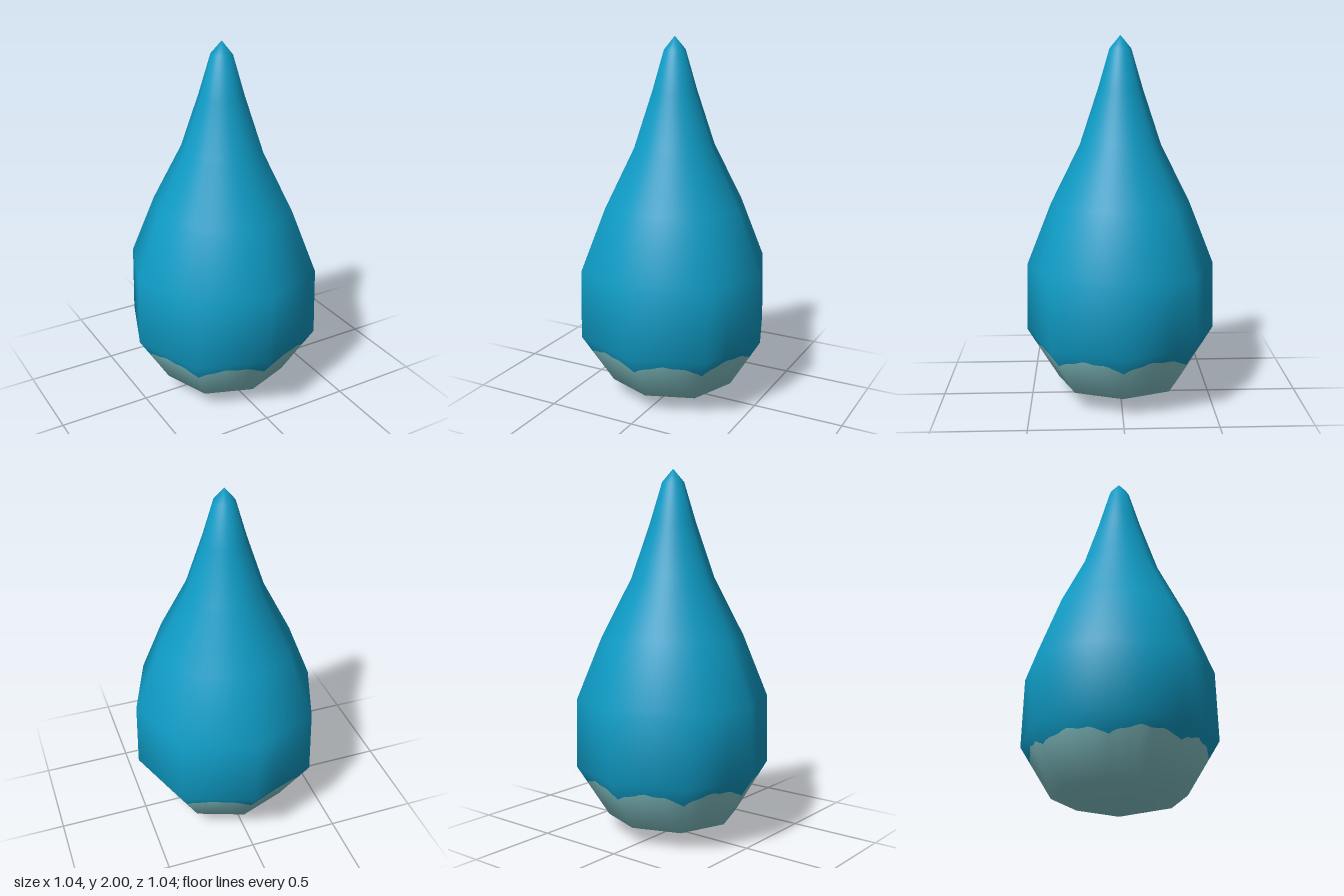
import * as THREE from 'three';

const SIDES = 8;
const STEPS = 14; // subdivisions per side, for the scalloped colour edge

// Outline from bottom tip to top tip: [radius, height]
const profile = [
  [0, 0], [0.35, 0.1], [0.522, 0.38], [0.514, 0.76], [0.38, 1.1],
  [0.22, 1.42], [0.12, 1.72], [0.058, 1.93], [0, 2],
].map(([r, y]) => new THREE.Vector2(r, y));

// Smooth outline normals, averaged from the neighbouring segments
const profileNormals = profile.map((p, i) => {
  if (i === 0) return new THREE.Vector2(0, -1);
  if (i === profile.length - 1) return new THREE.Vector2(0, 1);
  const a = p.clone().sub(profile[i - 1]).normalize();
  const b = profile[i + 1].clone().sub(p).normalize();
  const t = a.add(b).normalize();
  return new THREE.Vector2(t.y, -t.x);
});

// Corner directions of the eight-sided ring; the diagonals reach slightly further
function corner(i) {
  const a = (i / SIDES) * Math.PI * 2;
  const k = i % 2 ? 1.03 : 1;
  return new THREE.Vector2(Math.sin(a) * k, Math.cos(a) * k);
}

// Direction at s (0..SIDES), straight along each side
function direction(s) {
  const i = Math.min(Math.floor(s), SIDES - 1);
  return corner(i).lerp(corner(i + 1), s - i);
}

// Scalloped edge: one arch per side, dipping at every corner
function edgeLevel(s) {
  const arch = Math.pow(Math.abs(Math.sin(s * Math.PI)), 0.8);
  const height = 0.283 + 0.047 * arch + 0.006 * Math.sin(s * Math.PI * 6) * arch;
  return 1 + (height - profile[1].y) / (profile[2].y - profile[1].y);
}

// Surface through a list of levels; a level is an outline index or a function of s
function band(levels) {
  const position = [], normal = [], index = [];
  const columns = SIDES * STEPS;
  for (const level of levels) {
    for (let c = 0; c <= columns; c++) {
      const s = c / STEPS;
      const t = typeof level === 'function' ? level(s) : level;
      const i = Math.min(Math.floor(t), profile.length - 2);
      const p = profile[i].clone().lerp(profile[i + 1], t - i);
      const n = profileNormals[i].clone().lerp(profileNormals[i + 1], t - i);
      const d = direction(s);
      position.push(d.x * p.x, p.y, d.y * p.x);
      const v = new THREE.Vector3(d.x * n.x, n.y, d.y * n.x).normalize();
      normal.push(v.x, v.y, v.z);
    }
  }
  for (let r = 0; r < levels.length - 1; r++) {
    for (let c = 0; c < columns; c++) {
      const a = r * (columns + 1) + c, b = a + columns + 1;
      if (levels[r] !== 0) index.push(a, a + 1, b + 1);
      else index.push(a, b + 1, b);
      if (levels[r] !== 0 && levels[r + 1] !== profile.length - 1) index.push(a, b + 1, b);
    }
  }
  const geometry = new THREE.BufferGeometry();
  geometry.setAttribute('position', new THREE.Float32BufferAttribute(position, 3));
  geometry.setAttribute('normal', new THREE.Float32BufferAttribute(normal, 3));
  geometry.setIndex(index);
  return geometry;
}

export function createModel() {
  const blue = new THREE.MeshStandardMaterial({ color: 0x0f9cc6 });
  blue.name = 'blue';
  const pale = new THREE.MeshStandardMaterial({ color: 0x8accd0 });
  pale.name = 'paleTeal';

  const group = new THREE.Group();
  group.name = 'droplet';

  // Pale underside up to the scalloped edge
  const underside = new THREE.Mesh(band([0, 1, edgeLevel]), pale);
  underside.name = 'underside';

  // Blue body from the scalloped edge to the tip
  const body = new THREE.Mesh(band([edgeLevel, 2, 3, 4, 5, 6, 7, 8]), blue);
  body.name = 'body';

  group.add(underside, body);
  return group;
}
